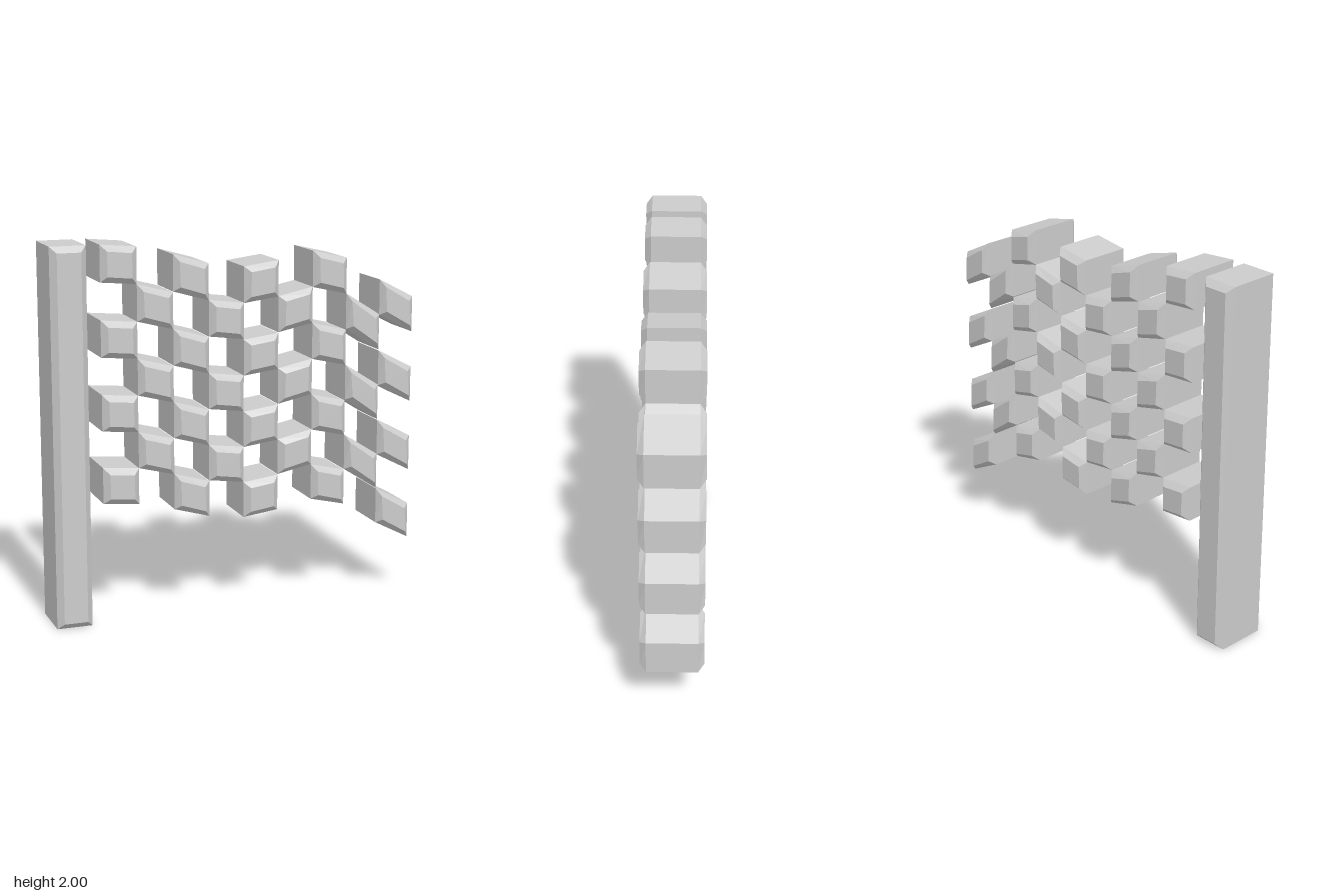
import * as THREE from 'three';

const DEPTH = 0.33, BEVEL = 0.032;

// Prism with vertical sides and sloped ends, chamfered on its front and back rims
function chamferedPrism(x0, x1, topLeft, topRight, height) {
  const shape = new THREE.Shape([
    new THREE.Vector2(x0, topLeft - height),
    new THREE.Vector2(x1, topRight - height),
    new THREE.Vector2(x1, topRight),
    new THREE.Vector2(x0, topLeft),
  ]);
  const geometry = new THREE.ExtrudeGeometry(shape, {
    depth: DEPTH - 2 * BEVEL,
    bevelThickness: BEVEL,
    bevelSize: BEVEL,
    bevelOffset: -BEVEL,
    bevelSegments: 1,
  });
  return geometry.translate(0, 0, -DEPTH / 2 + BEVEL);
}

export function createModel() {
  const group = new THREE.Group();
  const material = new THREE.MeshStandardMaterial({ color: 0xcccccc, flatShading: true });

  // Upright pole
  const pole = new THREE.Mesh(chamferedPrism(-1, -0.81, 2, 2, 2), material);
  pole.name = 'pole';
  group.add(pole);

  // Waving checkered flag: top height at the left and right edge of each column
  const columns = [
    [2.0, 1.983], [1.79, 1.74], [1.935, 1.88], [1.69, 1.665], [1.855, 1.88],
    [1.69, 1.73], [1.92, 1.875], [1.685, 1.562], [1.75, 1.65],
  ];
  const flag = new THREE.Group();
  flag.name = 'checkeredFlag';
  const start = -0.74, width = (1 - start) / columns.length;
  const tileHeight = 0.192, pitch = 0.385;

  columns.forEach(([left, right], c) => {
    const x = start + c * width;
    const geometry = chamferedPrism(x, x + width, left, right, tileHeight);
    const count = c % 2 ? 3 : 4; // alternate columns hold one tile fewer
    for (let row = 0; row < count; row++) {
      const tile = new THREE.Mesh(geometry, material);
      tile.name = `flagTile_${c + 1}_${row + 1}`;
      tile.position.y = -row * pitch;
      flag.add(tile);
    }
  });
  group.add(flag);
  return group;
}
